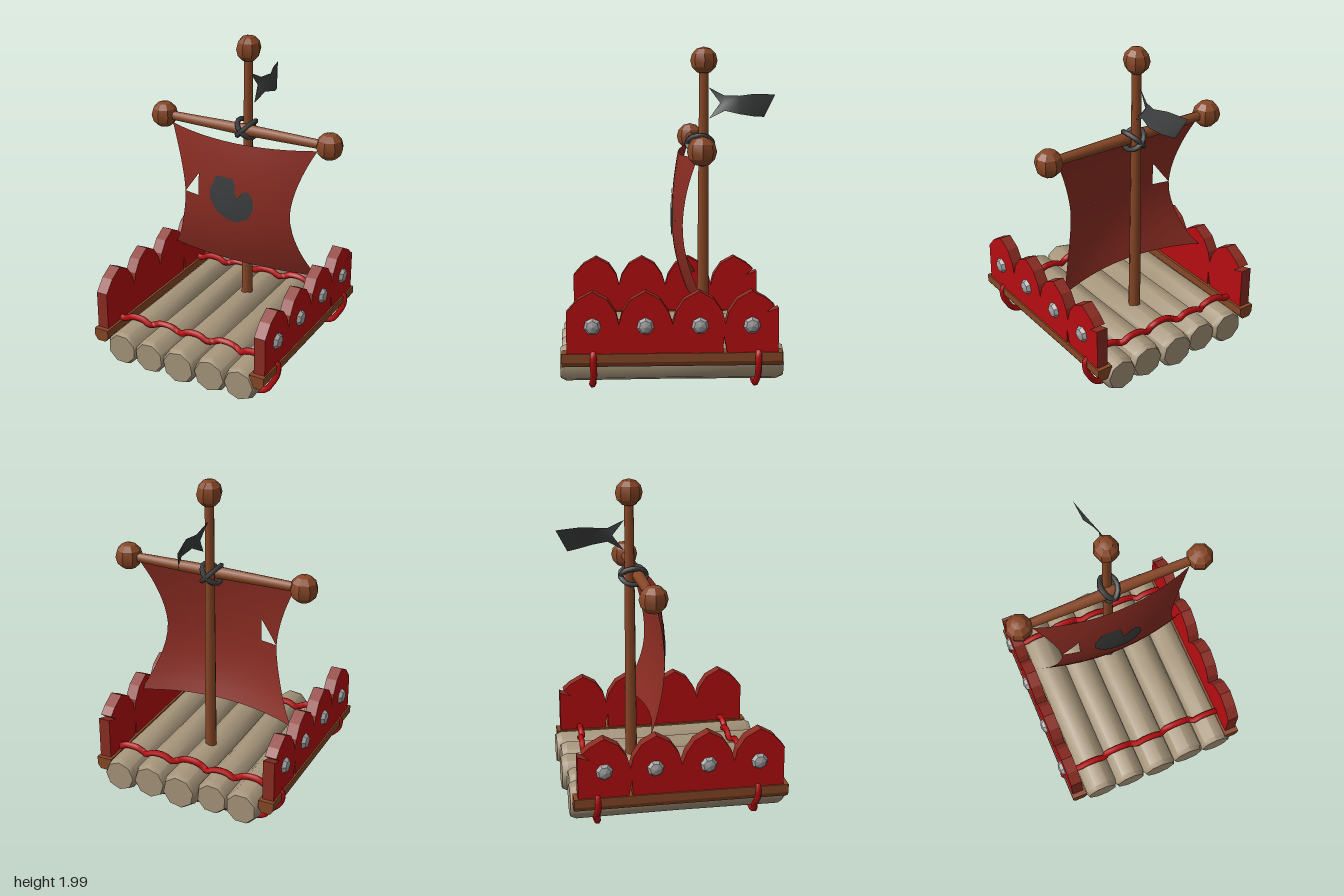
import * as THREE from 'three';
import { toCreasedNormals } from 'three/addons/utils/BufferGeometryUtils.js';

const mat = (name, color, extra = {}) => {
  const m = new THREE.MeshStandardMaterial({ color, ...extra });
  m.name = name;
  return m;
};

export function createModel() {
  const model = new THREE.Group();
  model.name = 'raft';
  const logWood = mat('pale log wood', 0xa5947a);
  const brown = mat('brown wood', 0x874726);
  const red = mat('red paint', 0xb50d10);
  const rust = mat('rust red', 0x8a2c22, { side: THREE.DoubleSide });
  const dark = mat('charcoal', 0x3c3d3e, { side: THREE.DoubleSide });
  const iron = mat('grey iron', 0xa2a2a2);

  const add = (name, geo, material, x = 0, y = 0, z = 0) => {
    const mesh = new THREE.Mesh(geo, material);
    mesh.name = name;
    mesh.position.set(x, y, z);
    model.add(mesh);
    return mesh;
  };
  const creased = (geo, angle = 0.85) => toCreasedNormals(geo, angle);
  const faceted = (geo) => toCreasedNormals(geo, 0.1);

  // Grid surface from rows of points
  const gridGeometry = (rows, cols, point) => {
    const pos = [], idx = [];
    for (let j = 0; j <= rows; j++)
      for (let i = 0; i <= cols; i++) pos.push(...point(i / cols, j / rows, i, j));
    for (let j = 0; j < rows; j++)
      for (let i = 0; i < cols; i++) {
        const a = j * (cols + 1) + i, b = a + cols + 1;
        idx.push(a, a + 1, b + 1, a, b + 1, b);
      }
    const g = new THREE.BufferGeometry();
    g.setAttribute('position', new THREE.Float32BufferAttribute(pos, 3));
    g.setIndex(idx);
    g.computeVertexNormals();
    return g;
  };

  // Deck logs with bevelled ends: x, radius, back z, front z
  const logs = [
    [-0.41, 0.112, -0.65, 0.65], [-0.21, 0.11, -0.635, 0.655], [0, 0.118, -0.66, 0.66],
    [0.21, 0.115, -0.64, 0.65], [0.41, 0.11, -0.655, 0.65],
  ];
  logs.forEach(([x, r, back, front], k) => {
    const profile = [[0, back], [r * 0.86, back], [r, back + 0.035], [r * 0.97, 0],
      [r, front - 0.03], [r * 0.86, front], [0, front]].map((p) => new THREE.Vector2(...p));
    const g = new THREE.LatheGeometry(profile, 8);
    g.rotateY(Math.PI / 8 + k * 0.1);
    g.rotateX(Math.PI / 2);
    add('deckLog', creased(g), logWood, x, 0.16, 0);
  });

  // Rope bands wrapped round the logs and side rails
  for (const z of [0.455, -0.5]) {
    const top = [], bottom = [];
    logs.forEach(([x, r], k) => {
      const h = r + 0.014, dz = z + (k % 2 ? -0.008 : 0.008);
      for (const [dx, f] of [[-0.09, 0.82], [-0.04, 1], [0.04, 1], [0.09, 0.82]]) {
        top.push(new THREE.Vector3(x + dx, 0.16 + h * f, dz));
        bottom.unshift(new THREE.Vector3(x + dx, 0.16 - h * f, dz));
      }
    });
    const right = [[0.565, 0.245], [0.565, 0.17], [0.53, 0.1]];
    const left = [[-0.53, 0.1], [-0.6, 0.17], [-0.605, 0.245]];
    const v = ([x, y]) => new THREE.Vector3(x, y, z);
    const path = new THREE.CatmullRomCurve3(
      [...top, ...right.map(v), ...bottom, ...left.map(v)], true, 'centripetal');
    add('ropeBand', new THREE.TubeGeometry(path, 140, 0.02, 6, true), red);
  }

  // Side rails and scalloped shield walls, notched and cracked near the back
  const wall = new THREE.Shape();
  const outline = [[-0.61, 0.24], [-0.61, 0.49]];
  [-0.46, -0.155, 0.155, 0.46].forEach((c, k) => {
    if (k) outline.push([c - 0.153, 0.42], [c - 0.135, 0.49]);
    outline.push([c - 0.085, 0.565], [c, 0.612], [c + 0.085, 0.565]);
    if (k < 3) outline.push([c + 0.135, 0.49]);
  });
  outline.push([0.59, 0.525], [0.54, 0.485], [0.615, 0.51], [0.615, 0.24],
    [0.32, 0.24], [0.297, 0.35], [0.295, 0.24]);
  wall.setFromPoints(outline.map((p) => new THREE.Vector2(...p)));

  for (const side of [-1, 1]) {
    const cx = side < 0 ? -0.57 : 0.527;
    const wallGeo = new THREE.ExtrudeGeometry(wall, { depth: 0.072, bevelEnabled: false });
    wallGeo.translate(0, 0, -0.036);
    wallGeo.rotateY(Math.PI / 2);
    add('shieldWall', wallGeo, [red, rust], cx, 0, 0);

    const rail = new THREE.Shape([[-0.028, 0.17], [0.028, 0.17], [0.048, 0.2], [0.048, 0.25],
      [-0.048, 0.25], [-0.048, 0.2]].map((p) => new THREE.Vector2(...p)));
    const railGeo = new THREE.ExtrudeGeometry(rail, { depth: 1.28, bevelEnabled: false });
    add('sideRail', railGeo, brown, cx + side * -0.003, 0, -0.64);

    for (const z of [0.46, 0.155, -0.16, -0.46]) {
      const stud = new THREE.SphereGeometry(0.052, 7, 4);
      stud.rotateZ(-side * Math.PI / 2);
      stud.scale(0.65, 1, 1);
      add('stud', faceted(stud), iron, cx + side * 0.034, 0.41, z);
    }
  }

  // Mast and yard with ball ends
  const mastZ = -0.215, yardY = 1.415, yardZ = -0.165;
  add('mast', new THREE.CylinderGeometry(0.028, 0.038, 1.74, 8), brown, 0, 1.0, mastZ);
  const half = 0.56;
  const yardGeo = new THREE.CylinderGeometry(0.031, 0.031, half, 8);
  for (const side of [-1, 1]) {
    const g = new THREE.CylinderGeometry(0.029, 0.039, half, 8);
    g.rotateZ(-side * Math.PI / 2);
    add('yard', g, brown, side * half / 2, yardY, yardZ);
  }
  yardGeo.dispose();
  const ball = (r) => creased(new THREE.SphereGeometry(r, 8, 6), 0.5);
  add('mastBall', ball(0.083), brown, 0, 1.917, mastZ).scale.x = 0.92;
  for (const side of [-1, 1]) add('yardBall', ball(0.085), brown, side * 0.575, yardY, yardZ);

  // Crossed lashing where yard meets mast
  for (const side of [-1, 1]) {
    const g = new THREE.TorusGeometry(0.07, 0.016, 6, 14);
    g.scale(1.1, 1, 1);
    g.rotateY(Math.PI / 2);
    g.rotateZ(side * Math.PI / 4);
    add('lashing', g, dark, 0, yardY, -0.192);
  }

  // Sail: billowing surface with hollow sides and a triangular tear
  const onSail = (x, y, lift = 0) => {
    const t = (y - 0.95) / 0.41;
    const z = -0.02 - (t > 0 ? 0.04 : 0.08) * t * t - 0.35 * x * x;
    return [x, y + t * 0.07 * x * x, z + lift];
  };
  const edge = (y) => {
    const t = (y - 0.95) / 0.41;
    return 0.37 + 0.135 * Math.pow(Math.abs(t), 1.7);
  };
  const leftEdge = (y) => -edge(y) - Math.max(0, 0.62 - y) * 0.2;
  const tearLow = 0.965, tearHigh = 1.11, tearX = -0.26;
  const slant = (y) => -0.367 + (y - tearLow) / (tearHigh - tearLow) * (0.367 + tearX);
  const patches = [
    [0.535, tearLow, leftEdge, edge, 12, 7],
    [tearLow, tearHigh, leftEdge, slant, 2, 3],
    [tearLow, tearHigh, () => tearX, edge, 10, 3],
    [tearHigh, 1.358, leftEdge, edge, 12, 5],
  ];
  for (const [y0, y1, l, r, cols, rows] of patches)
    add('sail', gridGeometry(rows, cols, (u, w) => {
      const y = y0 + (y1 - y0) * w;
      return onSail(l(y) + (r(y) - l(y)) * u, y);
    }), rust);

  // Dark notched patch following the sail
  const patch = [[-0.12, 1.135], [0, 1.138], [0.016, 1.08], [0.014, 1.045], [0.03, 1.015],
    [0.063, 1.04], [0.066, 1.06], [0.106, 1.072], [0.138, 1.025], [0.143, 0.965],
    [0.106, 0.89], [0.037, 0.853], [-0.032, 0.853], [-0.12, 0.9], [-0.164, 0.974],
    [-0.164, 1.04]].reverse();
  add('sailPatch', gridGeometry(5, patch.length, (u, w, i) => {
    const [px, py] = patch[i % patch.length];
    return onSail(-0.01 + (px + 0.01) * (1 - w), 0.96 + (py - 0.96) * (1 - w), 0.006);
  }), dark);

  // Wavy pennant with a swallow cut at the mast: z, top y, bottom y, x
  const flag = [[-0.245, 1.755, 1.565, 0.01], [-0.34, 1.705, 1.615, 0.035],
    [-0.43, 1.705, 1.595, 0.055], [-0.52, 1.715, 1.58, 0.025], [-0.62, 1.71, 1.575, -0.01]];
  add('pennant', gridGeometry(2, flag.length - 1, (u, w, i, j) => {
    const [z, top, low, x] = flag[i];
    const shift = i === 0 && j === 1 ? -0.07 : i === 4 ? (w - 0.5) * -0.07 : 0;
    return [x + (0.5 - w) * 0.03, low + (top - low) * w, z + shift];
  }), dark);

  return model;
}
